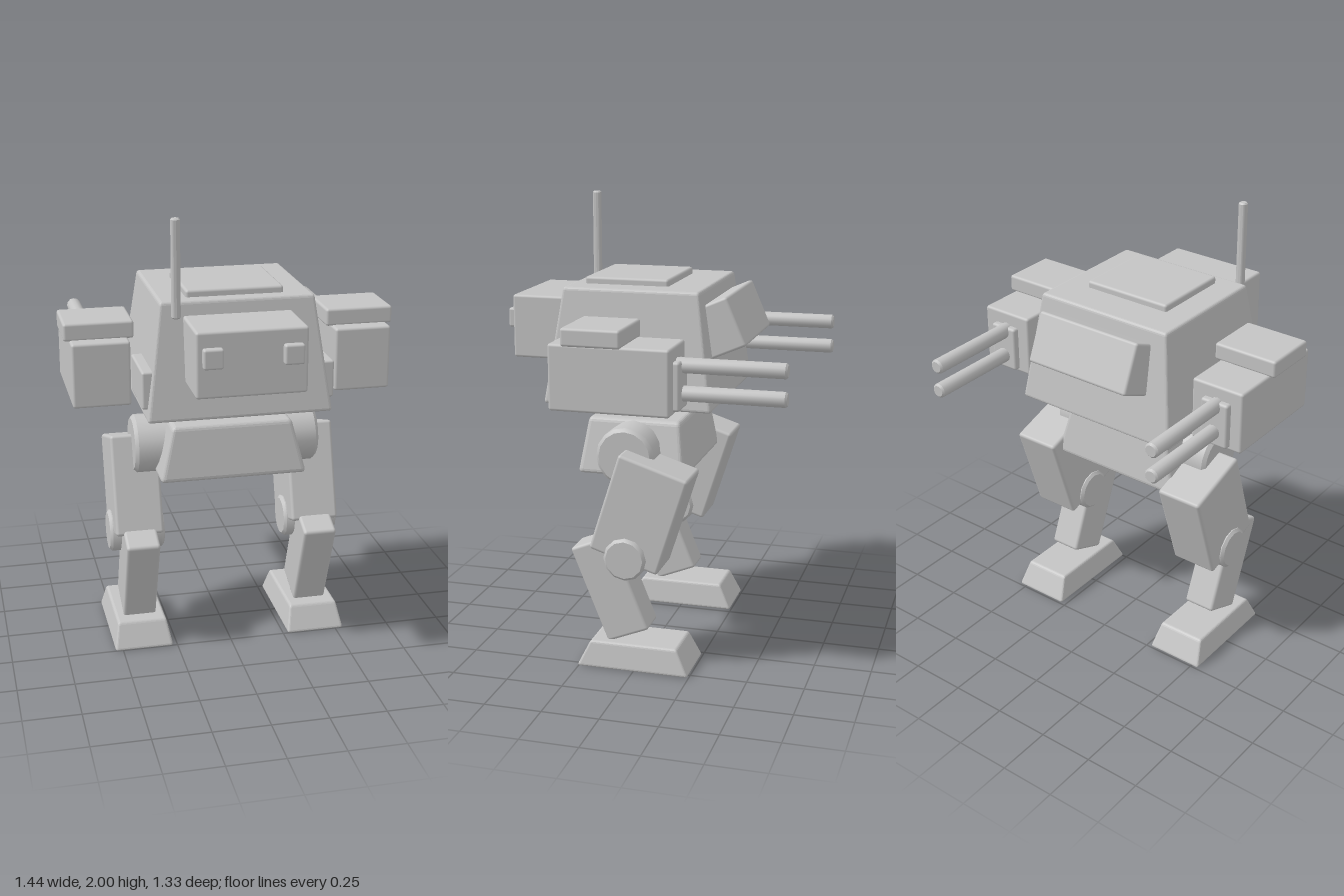
import * as THREE from 'three';
import { toCreasedNormals } from 'three/addons/utils/BufferGeometryUtils.js';
import { RoundedBoxGeometry } from 'three/addons/geometries/RoundedBoxGeometry.js';

export function createModel() {
  const model = new THREE.Group();
  model.name = 'walker';
  const grey = new THREE.MeshStandardMaterial({ color: 0xc4c4c4 });
  grey.name = 'grey armour';

  function add(name, geometry, x, y, z, parent = model) {
    const mesh = new THREE.Mesh(geometry, grey);
    mesh.name = name;
    mesh.position.set(x, y, z);
    parent.add(mesh);
    return mesh;
  }

  // Bevelled box given by its [min, max] range on each axis
  function box(name, [x0, x1], [y0, y1], [z0, z1], bevel = 0.012, parent = model) {
    const geometry = new RoundedBoxGeometry(x1 - x0, y1 - y0, z1 - z0, 2, bevel);
    return add(name, geometry, (x0 + x1) / 2, (y0 + y1) / 2, (z0 + z1) / 2, parent);
  }

  // Bevelled box whose footprint shrinks from the bottom size to the top size
  function taperedBox(w0, d0, w1, d1, h, bevel = 0.014) {
    const geometry = new RoundedBoxGeometry(w0, h, d0, 2, bevel);
    const p = geometry.attributes.position;
    for (let i = 0; i < p.count; i++) {
      const t = p.getY(i) / h + 0.5;
      p.setX(i, p.getX(i) * THREE.MathUtils.lerp(1, w1 / w0, t));
      p.setZ(i, p.getZ(i) * THREE.MathUtils.lerp(1, d1 / d0, t));
    }
    geometry.computeVertexNormals();
    return geometry;
  }

  // Bevelled cylinder standing on the y axis
  function drum(r, length, sides, bevel) {
    const h = length / 2;
    const profile = [[0, -h], [r - bevel, -h], [r, bevel - h], [r, h - bevel], [r - bevel, h], [0, h]];
    const points = profile.map(([a, b]) => new THREE.Vector2(a, b));
    return toCreasedNormals(new THREE.LatheGeometry(points, sides), 0.6);
  }

  // Hull and roof
  add('hull', taperedBox(0.8, 0.745, 0.66, 0.6, 0.5), 0, 1.395, 0.065);
  box('roofHatch', [-0.21, 0.21], [1.62, 1.675], [-0.07, 0.305]);
  const rearPack = box('rearPack', [-0.26, 0.257], [1.355, 1.58], [-0.39, -0.138]);
  rearPack.rotation.x = 0.41;

  // Head, eyes and antenna
  box('head', [-0.235, 0.232], [1.305, 1.585], [0.2, 0.635]);
  for (const side of [-1, 1]) {
    box(side > 0 ? 'leftEye' : 'rightEye',
      [side * 0.167 - 0.042, side * 0.167 + 0.042], [1.435, 1.52], [0.6, 0.665], 0.01);
  }
  add('antenna', drum(0.02, 0.415, 12, 0.006), -0.27, 1.7925, 0.405);

  // Pelvis and hip axle
  add('pelvis', taperedBox(0.655, 0.485, 0.53, 0.415, 0.245, 0.02), 0, 0.9425, 0.07);
  add('hipAxle', drum(0.13, 0.83, 16, 0.015), 0, 0.93, 0.07).rotation.z = Math.PI / 2;

  for (const side of [-1, 1]) {
    const prefix = side > 0 ? 'left' : 'right';

    // Gun pod with twin barrels, and the bracket on the hull
    const arm = new THREE.Group();
    arm.name = prefix + 'Arm';
    model.add(arm);
    const span = (a, b) => (side > 0 ? [a, b] : [-b, -a]);
    box('hullBracket', span(0.33, 0.415), [1.195, 1.358], [0.11, 0.395], 0.01, arm);
    box('gunPod', span(0.445, 0.693), [1.19, 1.47], [-0.208, 0.307], 0.012, arm);
    box('podCap', span(0.42, 0.718), [1.465, 1.542], [-0.01, 0.243], 0.012, arm);
    box('barrelMount', span(0.505, 0.638), [1.205, 1.41], [-0.235, -0.18], 0.012, arm);
    for (const y of [1.27, 1.387]) {
      add('barrel', drum(0.033, 0.48, 12, 0.008), side * 0.57, y, -0.425, arm).rotation.x = Math.PI / 2;
    }

    // Leg
    const leg = new THREE.Group();
    leg.name = prefix + 'Leg';
    leg.position.x = side * 0.403;
    model.add(leg);
    const thigh = add('thigh', new RoundedBoxGeometry(0.215, 0.45, 0.32, 2, 0.014), 0, 0.708, -0.017, leg);
    thigh.rotation.x = -0.31;
    add('knee', drum(0.095, 0.248, 12, 0.012), 0, 0.507, 0.04, leg).rotation.z = Math.PI / 2;
    const shin = add('shin', new RoundedBoxGeometry(0.15, 0.45, 0.2, 2, 0.014), 0, 0.35, 0.122, leg);
    shin.rotation.x = 0.385;
    add('foot', taperedBox(0.268, 0.505, 0.22, 0.39, 0.117, 0.012), 0, 0.0585, 0.005, leg);
  }

  return model;
}
